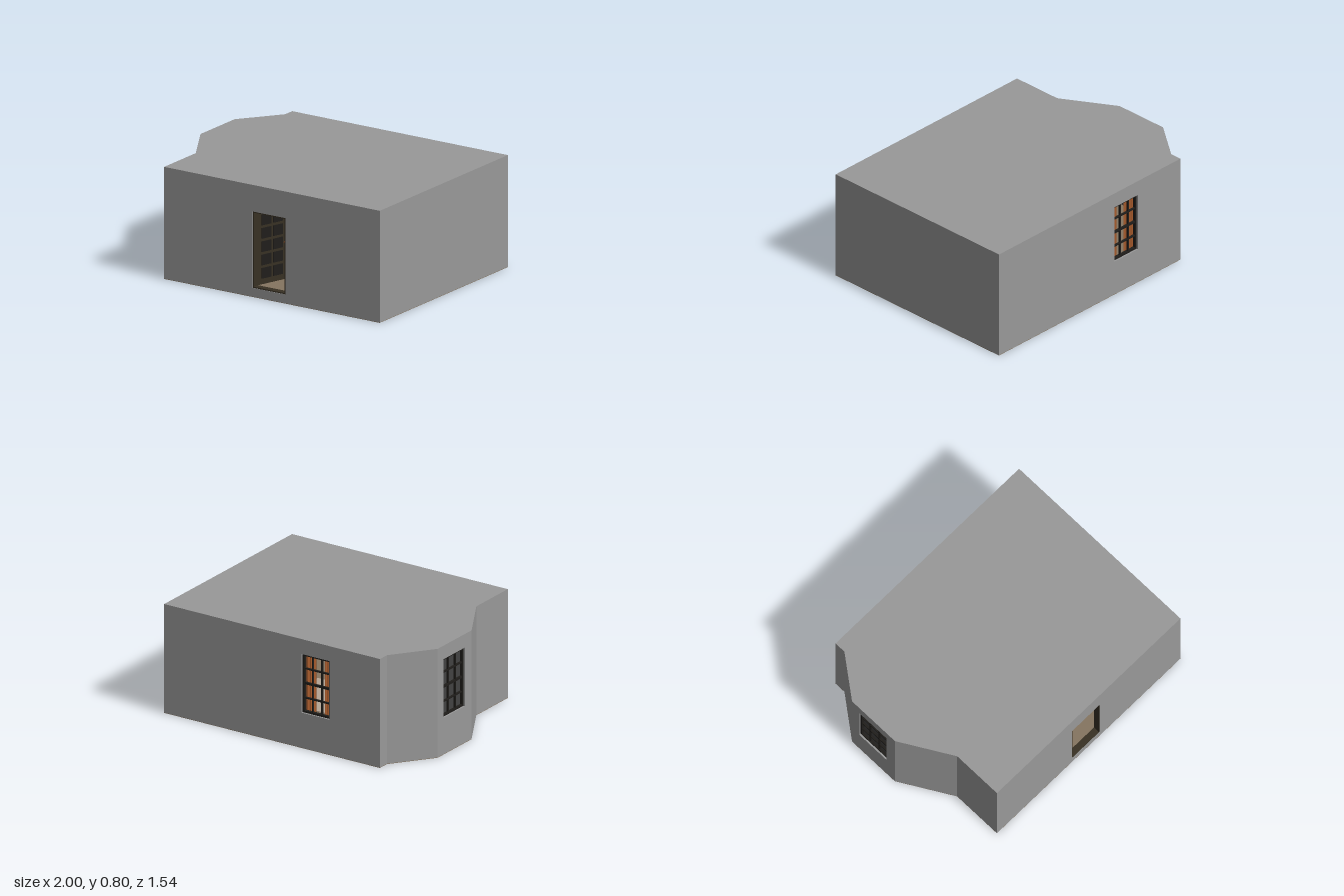
import * as THREE from 'three';

const paint = (name, color, side = THREE.FrontSide) => {
  const m = new THREE.MeshStandardMaterial({ color, side });
  m.name = name;
  return m;
};

export function createModel() {
  const model = new THREE.Group();
  model.name = 'room';
  const grey = paint('wall grey', 0x999999);
  const inner = paint('interior grey', 0x666666);
  const brown = paint('floor brown', 0x857560);
  const doorBrown = paint('door brown', 0x383124);
  const black = paint('frame black', 0x201e1b);
  const slate = paint('slate', 0x4c5158);
  const orange = paint('orange', 0xb0602f, THREE.DoubleSide);
  const tan = paint('tan', 0xb5a595);
  const glass = paint('dark glass', 0x434343, THREE.DoubleSide);

  const box = (parent, name, mat, x0, x1, y0, y1, z0, z1) => {
    const mesh = new THREE.Mesh(new THREE.BoxGeometry(x1 - x0, y1 - y0, z1 - z0), mat);
    mesh.position.set((x0 + x1) / 2, (y0 + y1) / 2, (z0 + z1) / 2);
    mesh.name = name;
    parent.add(mesh);
    return mesh;
  };
  const rectPath = (x0, x1, y0, y1) => new THREE.Path(
    [[x0, y0], [x0, y1], [x1, y1], [x1, y0]].map(p => new THREE.Vector2(...p)));

  // Plan outline (x, z), walked counter-clockwise from the front right corner
  const plan = [[-0.78, 0.77], [1, 0.77], [1, -0.775], [-0.78, -0.775],
    [-0.78, -0.69], [-1, -0.4], [-1, 0.01], [-0.78, 0.39]];
  const well = { x0: 0.654, x1: 0.958, z0: -0.71, z1: 0.38 };

  // Horizontal slab following the plan, optionally cut by the stairwell
  const slab = (name, mat, y0, y1, scale, cut) => {
    const shape = new THREE.Shape(plan.map(([x, z]) => new THREE.Vector2(x * scale, -z * scale)));
    if (cut) shape.holes.push(rectPath(well.x0, well.x1, -well.z1, -well.z0));
    const geo = new THREE.ExtrudeGeometry(shape, { depth: y1 - y0, bevelEnabled: false });
    geo.rotateX(-Math.PI / 2).translate(0, y0, 0);
    const mesh = new THREE.Mesh(geo, mat);
    mesh.name = name;
    model.add(mesh);
  };
  slab('floorUnderside', brown, 0, 0.003, 1, true);
  slab('floor', brown, 0.003, 0.065, 0.985, true);
  slab('ceiling', grey, 0.78, 0.8, 1, false);

  // Walls: an outer shell and a darker lining; local x runs along the wall, z points out
  const door = [0.73, 1.0, 0.065, 0.61];
  const backWindow = [1.135, 1.365, 0.26, 0.69];
  const bayWindow = [0.07, 0.33, 0.27, 0.7];
  const openings = { 0: door, 2: backWindow, 5: bayWindow };
  const walls = plan.map(([px, pz], i) => {
    const [qx, qz] = plan[(i + 1) % plan.length];
    const wall = new THREE.Group();
    wall.name = 'wall' + i;
    wall.position.set(px, 0, pz);
    wall.rotation.y = Math.atan2(pz - qz, qx - px);
    const length = Math.hypot(qx - px, qz - pz);
    [['outerWall', grey, -0.02, 0.02, 0], ['innerWall', inner, -0.045, 0.025, 0.012]].forEach(
      ([name, mat, z, depth, inset]) => {
        const shape = new THREE.Shape([[inset, 0.003], [length - inset, 0.003],
          [length - inset, 0.78], [inset, 0.78]].map(p => new THREE.Vector2(...p)));
        if (openings[i]) shape.holes.push(rectPath(...openings[i]));
        const mesh = new THREE.Mesh(
          new THREE.ExtrudeGeometry(shape, { depth, bevelEnabled: false }), mat);
        mesh.position.z = z;
        mesh.name = name;
        wall.add(mesh);
      });
    model.add(wall);
    return wall;
  });

  // Frame around an opening
  const frame = (parent, name, mat, [x0, x1, y0, y1], w, z0, z1) => {
    box(parent, name, mat, x0, x0 + w, y0, y1, z0, z1);
    box(parent, name, mat, x1 - w, x1, y0, y1, z0, z1);
    box(parent, name, mat, x0 + w, x1 - w, y0, y0 + w, z0, z1);
    box(parent, name, mat, x0 + w, x1 - w, y1 - w, y1, z0, z1);
  };

  // Sash windows, three panes by four
  const addWindow = (wall, o) => {
    const [x0, x1, y0, y1] = o;
    frame(wall, 'windowFrame', black, o, 0.014, -0.035, -0.012);
    for (let i = 1; i < 3; i++) {
      const x = x0 + (x1 - x0) * i / 3;
      box(wall, 'mullion', black, x - 0.005, x + 0.005, y0 + 0.01, y1 - 0.01, -0.03, -0.017);
    }
    for (let i = 1; i < 4; i++) {
      const y = y0 + (y1 - y0) * i / 4, h = i === 2 ? 0.008 : 0.005;
      box(wall, 'glazingBar', black, x0 + 0.01, x1 - 0.01, y - h, y + h, -0.031, -0.016);
    }
  };
  addWindow(walls[2], backWindow);
  addWindow(walls[5], bayWindow);
  box(walls[5], 'darkPane', glass, 0.075, 0.325, 0.275, 0.695, -0.034, -0.031);

  // Pleated curtains either side of the back window
  [[1.115, 1.215], [1.285, 1.385]].forEach(([x0, x1]) => {
    const geo = new THREE.PlaneGeometry(x1 - x0, 0.5, 24, 1);
    const p = geo.attributes.position;
    for (let i = 0; i < p.count; i++) p.setZ(i, 0.007 * Math.sin(p.getX(i) * 250));
    geo.computeVertexNormals();
    const curtain = new THREE.Mesh(geo, orange);
    curtain.position.set((x0 + x1) / 2, 0.47, -0.06);
    curtain.name = 'curtain';
    walls[2].add(curtain);
  });
  box(walls[2], 'curtainRail', black, 1.09, 1.41, 0.715, 0.73, -0.066, -0.052);

  // Door frame, threshold and door standing open into the room
  frame(walls[0], 'doorFrame', doorBrown, door, 0.008, -0.05, -0.003);
  box(model, 'threshold', slate, 0.06, 0.11, -0.0005, 0.004, 0.725, 0.755);
  const leaf = new THREE.Group();
  leaf.name = 'door';
  leaf.position.set(-0.04, 0, 0.725);
  leaf.rotation.y = 1.27;
  box(leaf, 'doorLeaf', doorBrown, 0, 0.25, 0.073, 0.602, -0.018, 0);
  for (let r = 0; r < 5; r++) for (let c = 0; c < 2; c++) {
    const x = 0.035 + c * 0.1, y = 0.115 + r * 0.095;
    [[0, 0.006], [-0.024, -0.018]].forEach(([z0, z1]) =>
      box(leaf, 'doorPanel', black, x, x + 0.08, y, y + 0.075, z0, z1));
  }
  const knob = new THREE.Mesh(new THREE.SphereGeometry(0.011, 12, 8), orange);
  knob.position.set(0.232, 0.34, 0.012);
  knob.name = 'doorKnob';
  leaf.add(knob);
  model.add(leaf);

  // Framed picture and baseboard on the inside of the back wall
  const picture = [0.13, 0.4, 0.375, 0.68];
  frame(model, 'pictureFrame', orange, picture, 0.015, -0.73, -0.712);
  box(model, 'pictureCanvas', tan, 0.14, 0.39, 0.385, 0.67, -0.729, -0.722);
  const hill = new THREE.Mesh(new THREE.CircleGeometry(0.06, 20, 0, Math.PI), inner);
  hill.scale.y = 1.7;
  hill.position.set(0.215, 0.39, -0.7205);
  hill.name = 'pictureHill';
  model.add(hill);
  box(model, 'baseboard', doorBrown, -0.73, 0.65, 0.065, 0.082, -0.731, -0.722);
  box(model, 'rug', tan, -0.05, 0.4, 0.065, 0.07, -0.3, 0.2);

  // Stairwell lining and railing
  const { x0, x1, z0, z1 } = well;
  box(model, 'stairwellLining', slate, x0, x0 + 0.008, 0.002, 0.068, z0, z1);
  box(model, 'stairwellLining', slate, x1 - 0.008, x1, 0.002, 0.068, z0, z1);
  box(model, 'stairwellLining', slate, x0 + 0.008, x1 - 0.008, 0.002, 0.068, z1 - 0.008, z1);
  box(model, 'stairwellLining', slate, x0 + 0.008, x1 - 0.008, 0.002, 0.068, z0, z0 + 0.008);
  box(model, 'handrail', doorBrown, x0 - 0.03, x0 - 0.005, 0.27, 0.288, z0, z1);
  for (let i = 0; i <= 16; i++) {
    const z = z0 + 0.015 + (z1 - z0 - 0.03) * i / 16, r = i % 16 ? 0.006 : 0.013;
    box(model, i % 16 ? 'baluster' : 'newelPost', black,
      x0 - 0.0175 - r, x0 - 0.0175 + r, 0.065, i % 16 ? 0.27 : 0.31, z - r, z + r);
  }
  return model;
}
